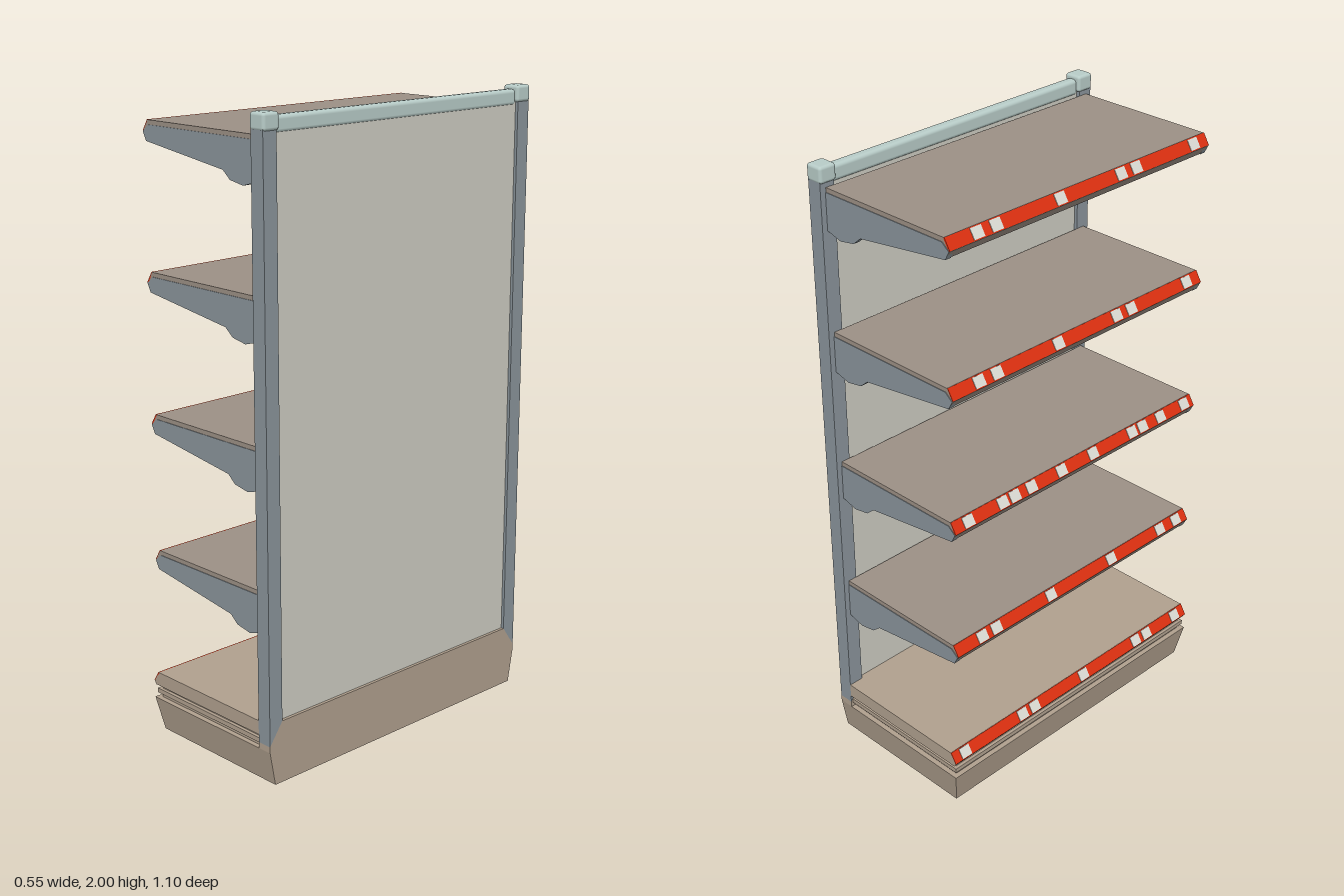
import * as THREE from 'three';
import { RoundedBoxGeometry } from 'three/addons/geometries/RoundedBoxGeometry.js';

const mat = (name, color) => {
  const m = new THREE.MeshStandardMaterial({ color });
  m.name = name;
  return m;
};

export function createModel() {
  const root = new THREE.Group();
  root.name = 'shelfUnit';
  const taupe = mat('taupe base', 0xb0a08e);
  const shelfTaupe = mat('shelf taupe', 0x9c9085);
  const steel = mat('blue grey steel', 0x8a949b);
  const pale = mat('pale green grey', 0xb8ccc8);
  const cream = mat('back panel cream', 0xcdccc2);
  const red = mat('price strip red', 0xdd3010);
  const white = mat('tag white', 0xdcdcd4);

  const add = (parent, name, geo, material, x = 0, y = 0, z = 0) => {
    const m = new THREE.Mesh(geo, material);
    m.name = name;
    m.position.set(x, y, z);
    parent.add(m);
    return m;
  };
  // Block given by its limits
  const block = (parent, name, material, x0, x1, y0, y1, z0, z1) =>
    add(parent, name, new THREE.BoxGeometry(x1 - x0, y1 - y0, z1 - z0), material,
      (x0 + x1) / 2, (y0 + y1) / 2, (z0 + z1) / 2);
  // Flat outline pushed along z
  const extrude = (pts, depth) => new THREE.ExtrudeGeometry(
    new THREE.Shape(pts.map(p => new THREE.Vector2(...p))), { depth, bevelEnabled: false });

  // Red strip and white tags on the sloping front edge of a shelf
  const priceRail = (parent, top, half, tags) => {
    const rail = new THREE.Group();
    rail.name = 'priceRail';
    rail.position.set(-0.266, top - 0.0175, 0);
    rail.rotation.z = -Math.atan2(0.022, 0.035);
    add(rail, 'priceStrip', new THREE.BoxGeometry(0.005, 0.04, half * 2), red);
    for (const z of tags)
      add(rail, 'priceTag', new THREE.BoxGeometry(0.005, 0.034, 0.04), white, -0.002, 0, z);
    parent.add(rail);
  };

  // Base: kick plinth narrowing towards the floor
  const base = new THREE.Group();
  base.name = 'base';
  root.add(base);
  const kick = new THREE.BoxGeometry(0.497, 0.11, 1.1);
  const p = kick.attributes.position;
  for (let i = 0; i < p.count; i++) {
    if (p.getY(i) > 0) continue;
    p.setZ(i, Math.sign(p.getZ(i)) * 0.53);
    if (p.getX(i) < 0) p.setX(i, p.getX(i) + 0.022);
  }
  kick.computeVertexNormals();
  add(base, 'kickPlinth', kick, taupe, -0.0285, 0.055, 0);

  // Grooved band with a rib, then the bottom tray
  block(base, 'groove', taupe, -0.26, 0.22, 0.11, 0.155, -0.533, 0.533);
  block(base, 'grooveRib', taupe, -0.271, 0.22, 0.125, 0.14, -0.544, 0.544);
  add(base, 'bottomTray', extrude([[0.22, 0.155], [0.22, 0.2], [-0.255, 0.2],
    [-0.277, 0.165], [-0.27, 0.155]], 1.1), taupe, 0, 0, -0.55);
  priceRail(base, 0.2, 0.55, [-0.5, -0.245, -0.19, 0.04, 0.3, 0.355, 0.5]);

  // Rear of the base with bevelled shoulders
  const rear = extrude([[-0.53, 0], [0.53, 0], [0.55, 0.11], [0.55, 0.13],
    [0.5, 0.2], [-0.5, 0.2], [-0.55, 0.13], [-0.55, 0.11]], 0.05);
  rear.rotateY(Math.PI / 2);
  add(base, 'baseRear', rear, taupe, 0.22);

  // Back panel and top rail
  block(root, 'backPanel', cream, 0.232, 0.26, 0.2, 1.95, -0.5, 0.5);
  add(root, 'topRail', new RoundedBoxGeometry(0.036, 0.05, 1.0, 2, 0.012), pale, 0.245, 1.963, 0);

  // Posts with mitred feet, and their caps
  for (const s of [-1, 1]) {
    const outline = [[0.5, 0.2], [0.55, 0.13], [0.55, 1.96], [0.5, 1.96]];
    const post = extrude(outline.map(([z, y]) => [-s * z, y]), 0.05);
    post.rotateY(Math.PI / 2);
    add(root, 'post', post, steel, 0.22);
    add(root, 'postCap', new RoundedBoxGeometry(0.06, 0.052, 0.06, 2, 0.01), pale,
      0.245, 1.974, s * 0.522);
  }

  // Four shelves, each a folded plate on two brackets
  const plate = [[0.22, 0], [-0.255, 0], [-0.277, -0.035], [-0.262, -0.06],
    [-0.252, -0.058], [-0.262, -0.035], [-0.25, -0.014], [0.22, -0.014]];
  const bracket = [[0.22, -0.014], [-0.25, -0.014], [-0.276, -0.035], [-0.262, -0.062],
    [0.08, -0.11], [0.11, -0.135], [0.165, -0.145], [0.22, -0.13]];
  const tagSets = [
    [-0.42, -0.36, -0.12, 0.16, 0.4, 0.48],
    [-0.47, -0.33, -0.28, -0.21, -0.08, 0.06, 0.24, 0.29, 0.375, 0.49],
    [-0.42, -0.35, -0.1, 0.15, 0.215, 0.47],
    [-0.42, -0.35, -0.1, 0.15, 0.215, 0.47],
  ];
  [0.605, 1.045, 1.485, 1.935].forEach((top, i) => {
    const shelf = new THREE.Group();
    shelf.name = 'shelf';
    root.add(shelf);
    add(shelf, 'shelfPlate', extrude(plate, 1.06), shelfTaupe, 0, top, -0.53);
    for (const z of [-0.532, 0.512])
      add(shelf, 'bracket', extrude(bracket, 0.02), steel, 0, top, z);
    priceRail(shelf, top, 0.53, tagSets[i]);
  });

  return root;
}
